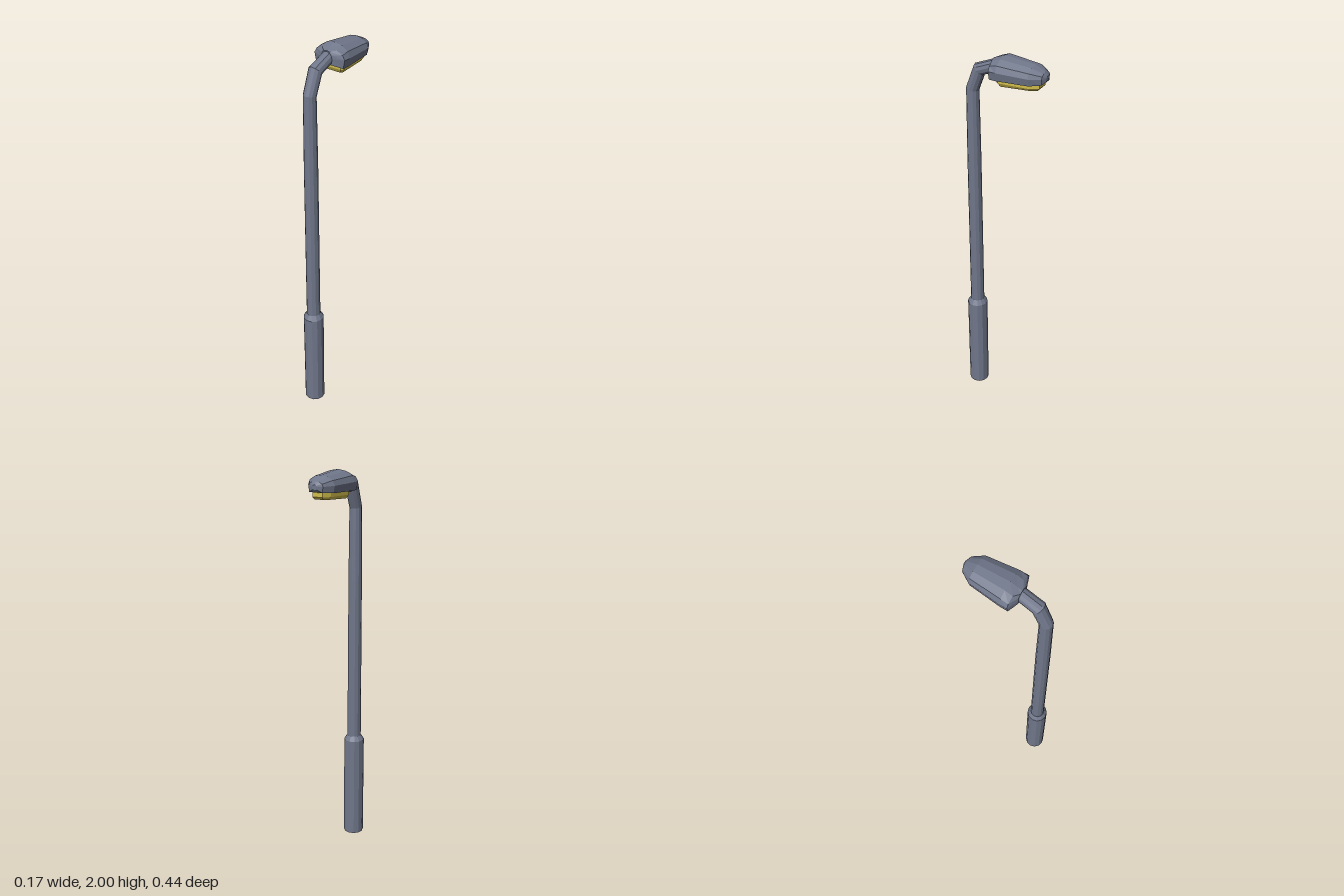
import * as THREE from 'three';

// Skin a list of rings (each counter-clockwise about the direction of travel) and cap both ends.
function loft(rings, material, name) {
  const n = rings[0].length, pos = [], idx = [];
  rings.forEach(r => r.forEach(p => pos.push(...p)));
  for (let k = 0; k < rings.length - 1; k++) {
    for (let i = 0; i < n; i++) {
      const a = k * n + i, b = k * n + (i + 1) % n;
      idx.push(a, b, b + n, a, b + n, a + n);
    }
  }
  const last = (rings.length - 1) * n;
  for (let i = 1; i < n - 1; i++) {
    idx.push(0, i + 1, i, last, last + i, last + i + 1);
  }
  const geo = new THREE.BufferGeometry();
  geo.setAttribute('position', new THREE.Float32BufferAttribute(pos, 3));
  geo.setIndex(idx);
  geo.computeVertexNormals();
  const mesh = new THREE.Mesh(geo, material);
  mesh.name = name;
  return mesh;
}

// Round pole ring, tilted from vertical towards the lamp.
function poleRing([y, z, r, degrees]) {
  const t = THREE.MathUtils.degToRad(degrees);
  return Array.from({ length: 12 }, (_, i) => {
    const a = i * Math.PI / 6, s = -r * Math.sin(a);
    return [r * Math.cos(a), y + s * Math.sin(t), z + s * Math.cos(t)];
  });
}

// Domed housing section with a flat underside.
function housingRing([z, w, bottom, mid, top]) {
  const h = top - mid;
  return [
    [w, mid], [w * 0.9, bottom], [-w * 0.9, bottom], [-w, mid],
    [-w * 0.86, mid + h * 0.52], [-w * 0.48, mid + h * 0.88], [0, top],
    [w * 0.48, mid + h * 0.88], [w * 0.86, mid + h * 0.52],
  ].map(([x, y]) => [x, y, z]);
}

// Tapered lens outline, with its underside rising slightly towards the tip.
function lensRing([y, scale, rise]) {
  const zc = -0.09;
  return [
    [0.056, -0.002], [0.046, 0.01], [-0.046, 0.01], [-0.056, -0.002],
    [-0.047, -0.155], [-0.027, -0.195], [0.027, -0.195], [0.047, -0.155],
  ].map(([x, z]) => [
    x * scale, y + rise * (0.01 - z) / 0.2, zc + (z - zc) * (1 - (1 - scale) * 0.5),
  ]);
}

export function createModel() {
  const metal = new THREE.MeshStandardMaterial({ color: 0x70778a, flatShading: true });
  metal.name = 'grey metal';
  const glow = new THREE.MeshStandardMaterial({ color: 0xd0bd4c, flatShading: true });
  glow.name = 'yellow lens';

  const lamp = new THREE.Group();
  lamp.name = 'streetLamp';

  // Thick base, tapering pole and bent arm
  lamp.add(loft([
    [0, 0.167, 0.053, 0], [0.56, 0.167, 0.053, 0], [0.585, 0.167, 0.036, 0],
    [1.44, 0.167, 0.034, 0], [1.805, 0.167, 0.031, 11],
    [1.908, 0.127, 0.033, 45], [1.95, 0.025, 0.031, 68],
  ].map(poleRing), metal, 'pole'));

  // Lamp housing, from the arm socket to the rounded tip
  lamp.add(loft([
    [0.05, 0.034, 1.915, 1.945, 1.978], [0.03, 0.086, 1.905, 1.945, 1.985],
    [-0.006, 0.086, 1.905, 1.945, 2.0], [-0.16, 0.07, 1.91, 1.943, 1.987],
    [-0.21, 0.038, 1.915, 1.941, 1.964], [-0.221, 0.012, 1.928, 1.94, 1.95],
  ].map(housingRing), metal, 'lampHousing'));

  // Glowing lens underneath
  lamp.add(loft([
    [1.912, 1, 0], [1.886, 1, 0.006], [1.868, 0.8, 0.012],
  ].map(lensRing), glow, 'lens'));

  return lamp;
}
